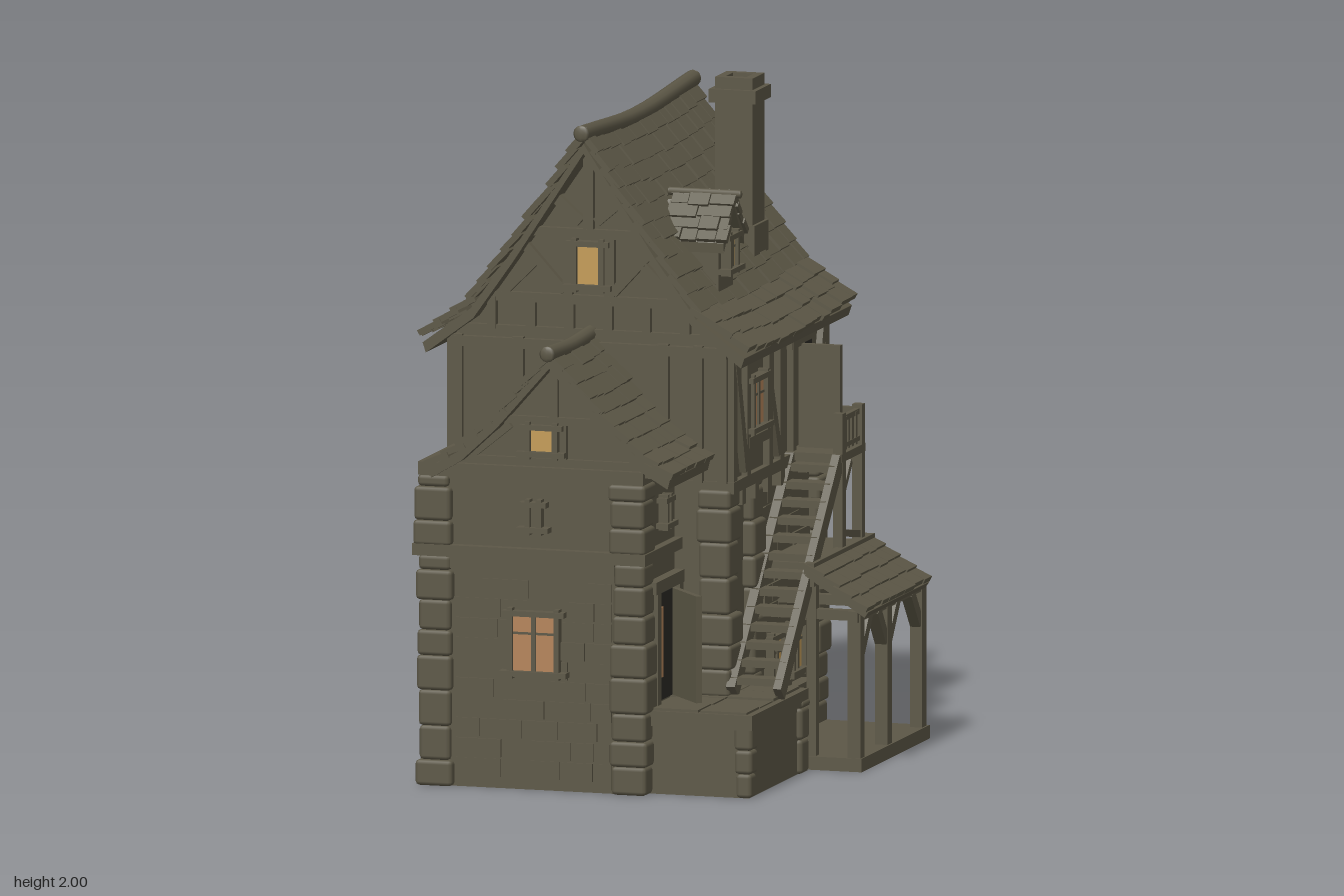
import * as THREE from 'three';
import { mergeGeometries } from 'three/addons/utils/BufferGeometryUtils.js';
import { RoundedBoxGeometry } from 'three/addons/geometries/RoundedBoxGeometry.js';

export function createModel() {
  const mat = (name, color) => Object.assign(new THREE.MeshStandardMaterial({ color }), { name });
  const weathered = mat('weathered olive', 0x5c5746);
  const glow = mat('amber glow', 0xc49c58);
  const peach = mat('peach glow', 0xb5845a);
  const dark = mat('dark interior', 0x2b2a25);
  const house = new THREE.Group();
  house.name = 'timberHouse';

  let seed = 7;
  const rnd = (a = 0, b = 1) => {
    seed = (seed * 16807) % 2147483647;
    return a + (b - a) * seed / 2147483647;
  };

  // --- helpers ---
  const add = (parent, name, geo, m = weathered) => {
    const mesh = new THREE.Mesh(geo, m);
    mesh.name = name;
    parent.add(mesh);
    return mesh;
  };
  const boxGeo = (w, h, d, x, y, z, rz = 0) =>
    new THREE.BoxGeometry(w, h, d).rotateZ(rz).translate(x, y, z);
  // box from min/max ranges
  const block = (name, x0, x1, y0, y1, z0, z1, parent = house, m = weathered) =>
    add(parent, name, boxGeo(x1 - x0, y1 - y0, z1 - z0, (x0 + x1) / 2, (y0 + y1) / 2, (z0 + z1) / 2), m);
  const prism = (parent, name, pts, z0, z1) =>
    add(parent, name, new THREE.ExtrudeGeometry(new THREE.Shape(pts.map(p => new THREE.Vector2(...p))),
      { depth: z1 - z0, bevelEnabled: false }).translate(0, 0, z0));
  // wall face: local x runs along the wall, local z points outwards
  const face = (name, rot, x, z) => {
    const g = new THREE.Group();
    g.name = name;
    g.rotation.y = rot;
    g.position.set(x, 0, z);
    house.add(g);
    return g;
  };
  const beams = (g, name, list, w = 0.032, depth = 0.036) => add(g, name, mergeGeometries(
    list.map(([a, b, c, d]) => boxGeo(Math.hypot(c - a, d - b) + w * 0.6, w * rnd(0.9, 1.15), depth + rnd(0, 0.006),
      (a + c) / 2, (b + d) / 2, 0, Math.atan2(d - b, c - a)))));
  const win = (g, u, y, w, h, m = glow, mullion = true) => {
    const a = w / 2, b = h / 2, t = 0.016;
    block('windowGlow', u - a, u + a, y - b, y + b, 0.01, 0.017, g, m);
    const frame = [
      boxGeo(t, h + 2 * t, 0.06, u - a, y, 0), boxGeo(t, h + 2 * t, 0.06, u + a, y, 0),
      boxGeo(w + 3 * t, t, 0.066, u, y + b, 0), boxGeo(w + 4 * t, t, 0.076, u, y - b, 0)];
    if (mullion) frame.push(boxGeo(0.014, h, 0.046, u, y, 0), boxGeo(w, 0.007, 0.04, u, y + h * 0.17, 0));
    add(g, 'windowFrame', mergeGeometries(frame));
  };
  // scattered, slightly proud masonry
  const stones = (g, u0, u1, y0, y1) => {
    const list = [];
    for (let y = y0; y < y1 - 0.04; y += 0.06) {
      for (let u = u0; u < u1 - 0.05;) {
        const w = Math.min(rnd(0.07, 0.16), u1 - u);
        if (rnd() < 0.6) list.push(boxGeo(w - 0.006, 0.054, rnd(0.004, 0.018), u + w / 2, y + 0.03, 0));
        u += w;
      }
    }
    add(g, 'wallStones', mergeGeometries(list));
  };
  const quoin = (x, z, y0, y1, w = 0.1, d = 0.1) => {
    const list = [];
    for (let y = y0; y < y1 - 0.02;) {
      const h = Math.min(rnd(0.07, 0.11), y1 - y), e = rnd(-0.014, 0.012);
      list.push(new RoundedBoxGeometry(w + e, h, d + e, 1, 0.012).translate(x, y + h / 2, z));
      y += h;
    }
    add(house, 'quoinStones', mergeGeometries(list));
  };
  // shingled gable roof along local z; pts run from ridge to eave
  const roof = (g, name, pts, z0, z1, rows, sag = 0, ridge = 0.025) => {
    const path = new THREE.CurvePath(), mid = (z0 + z1) / 2, half = (z1 - z0) / 2;
    for (let i = 1; i < pts.length; i++)
      path.add(new THREE.LineCurve(new THREE.Vector2(...pts[i - 1]), new THREE.Vector2(...pts[i])));
    const L = path.getLength() / rows, list = [];
    const drop = z => sag * (1 - ((z - mid) / half) ** 2);
    for (const s of [1, -1]) for (let i = 0; i < rows; i++) {
      const p = path.getPointAt((i + 0.5) / rows), t = path.getTangentAt((i + 0.5) / rows);
      const ang = Math.atan2(t.y, t.x) + 0.13;
      for (let z = z0 + rnd(0, 0.015); z < z1 - 0.01;) {
        let w = rnd(0.05, 0.11);
        if (z + w > z1 - 0.035) w = z1 - z - rnd(0, 0.012);
        list.push(boxGeo(L * rnd(1.2, 1.42), 0.018, w - 0.003, s * (p.x + rnd(-0.005, 0.005)),
          p.y - drop(z + w / 2) + rnd(-0.003, 0.003), z + w / 2, s * ang));
        z += w;
      }
    }
    add(g, name + 'Shingles', mergeGeometries(list));
    const off = sag + 0.008, top = [...pts.slice(1).reverse().map(p => [-p[0], p[1] - off]), ...pts.map(p => [p[0], p[1] - off])];
    prism(g, name + 'Deck', [...top, ...top.map(p => [p[0] * 0.98, p[1] - 0.03]).reverse()].reverse(), z0 + 0.015, z1 - 0.015);
    if (ridge) {
      const log = new THREE.CatmullRomCurve3([z0 - 0.006, mid, z1 + 0.006].map(z => new THREE.Vector3(0, pts[0][1] - drop(z), z)));
      add(g, name + 'RidgeLog', new THREE.TubeGeometry(log, 10, ridge, 8));
      for (const z of [z0 - 0.006, z1 + 0.006])
        add(g, name + 'RidgeEnd', new THREE.SphereGeometry(ridge, 8, 6).scale(1, 1, 0.3).translate(0, pts[0][1], z));
    }
  };
  const H = Math.PI / 2, CX = -0.14;

  // --- main masses ---
  block('groundFloor', -0.54, 0.27, 0, 0.88, -0.62, 0.3);
  block('upperFloor', -0.565, 0.29, 0.87, 1.3, -0.63, 0.29);
  block('frontWing', -0.54, 0.125, 0, 0.96, 0.28, 0.63);
  block('wingLedge', -0.575, 0.15, 0.69, 0.725, 0.28, 0.66);
  block('wingTopBeam', -0.56, 0.14, 0.93, 0.97, 0.28, 0.65);
  block('groundFloorSill', -0.585, 0.31, 0.86, 0.895, -0.65, 0.3);
  block('basePlinth', -0.56, 0.29, 0, 0.03, -0.645, 0.3);

  const gables = new THREE.Group();
  gables.name = 'roofs';
  gables.position.x = CX;
  house.add(gables);
  prism(gables, 'atticWalls', [[-0.425, 1.28], [0.425, 1.28], [0.34, 1.37], [0.2, 1.56], [0, 1.85], [-0.2, 1.56], [-0.34, 1.37]], -0.63, 0.29);
  prism(gables, 'wingGable', [[-0.33, 0.95], [0.33, 0.95], [0.17, 1.09], [0, 1.28], [-0.17, 1.09]], 0.25, 0.63);
  roof(gables, 'mainRoof', [[0, 1.93], [0.22, 1.6], [0.35, 1.42], [0.5, 1.31]], -0.7, 0.37, 13, 0.025);
  roof(gables, 'wingRoof', [[0, 1.32], [0.17, 1.13], [0.28, 1.03], [0.375, 0.975]], 0.28, 0.7, 9, 0.008, 0.024);

  // --- quoins ---
  for (const [x, z, y0, y1] of [[-0.51, 0.6, 0, 0.69], [0.095, 0.6, 0, 0.69], [-0.515, 0.6, 0.72, 0.93], [0.09, 0.6, 0.72, 0.93],
    [-0.52, 0.3, 0, 0.87], [-0.52, -0.6, 0, 0.87], [0.25, -0.6, 0, 0.87], [0.25, 0.03, 0, 0.87], [0.25, 0.26, 0.25, 0.87]])
    quoin(x, z, y0, y1, 0.11, 0.11);

  // --- front ---
  const wing = face('wingFront', 0, 0, 0.63);
  stones(wing, -0.45, 0.04, 0.03, 0.66);
  win(wing, -0.2, 0.44, 0.145, 0.18, peach);
  win(wing, -0.2, 0.82, 0.035, 0.075, weathered, false);
  win(wing, -0.175, 1.05, 0.085, 0.08, glow, false);
  beams(wing, 'wingGableTimbers', [[-0.46, 0.985, 0.18, 0.985], [-0.3, 1.11, 0.02, 1.11], [-0.14, 1.12, -0.14, 1.26],
    [-0.24, 1, -0.24, 1.1], [-0.11, 1, -0.11, 1.1], [-0.39, 1, -0.28, 1.09], [0.11, 1, 0, 1.09]], 0.022, 0.03);
  block('wingLintel', -0.46, 0.05, 0.655, 0.69, 0.6, 0.65);
  const front = face('atticFront', 0, 0, 0.29);
  win(front, -0.14, 1.525, 0.085, 0.13, glow, false);
  const back = face('houseBack', Math.PI, 0, -0.63);
  win(back, 0.14, 1.525, 0.085, 0.13, glow, false);
  for (const [g, s] of [[front, 1], [back, -1]]) {
    const c = s * CX, list = [[c - 0.4, 1.32, c + 0.4, 1.32], [c - 0.33, 1.42, c + 0.33, 1.42], [c - 0.18, 1.62, c + 0.18, 1.62],
      [c, 1.64, c, 1.84], [c - 0.065, 1.43, c - 0.065, 1.61], [c + 0.065, 1.43, c + 0.065, 1.61]];
    for (const k of [-0.3, -0.18, -0.06, 0.06, 0.18, 0.3]) list.push([c + k, 1.33, c + k, 1.41]);
    for (const k of [-1, 1]) list.push([c + k * 0.08, 1.45, c + k * 0.19, 1.57], [c + k * 0.27, 1.43, c + k * 0.16, 1.54],
      [c + k * 0.03, 1.66, c + k * 0.1, 1.72]);
    beams(g, 'atticTimbers', list, 0.028);
  }
  beams(front, 'upperFrontTimbers', [[-0.55, 0.9, -0.55, 1.29], [0.275, 0.9, 0.275, 1.29], [-0.36, 0.9, -0.36, 1.29],
    [0.09, 0.9, 0.09, 1.29], [0.2, 0.9, 0.2, 1.29], [-0.56, 1.28, 0.28, 1.28]]);

  // --- back ---
  beams(back, 'backTimbers', [[-0.28, 0.9, -0.28, 1.29], [0.55, 0.9, 0.55, 1.29], [0, 0.9, 0, 1.29], [0.28, 0.9, 0.28, 1.29],
    [-0.28, 1.285, 0.55, 1.285], [-0.28, 1.1, 0.55, 1.1], [-0.26, 0.92, -0.02, 1.09], [0.53, 0.92, 0.3, 1.09],
    [0.02, 1.27, 0.13, 1.12], [0.26, 1.27, 0.15, 1.12], [-0.26, 1.12, -0.15, 1.27], [0.53, 1.12, 0.42, 1.27]]);
  stones(back, -0.2, 0.46, 0.03, 0.8);
  win(back, 0.23, 0.42, 0.13, 0.17, peach);

  // --- left-hand wall at -x ---
  const westUp = face('upperWestWall', -H, -0.565, 0);
  for (const u of [-0.4, 0.06]) win(westUp, u, 1.1, 0.12, 0.15);
  beams(westUp, 'westTimbers', [[-0.61, 0.9, -0.61, 1.29], [-0.5, 0.9, -0.5, 1.29], [-0.29, 0.9, -0.29, 1.29], [-0.05, 0.9, -0.05, 1.29],
    [0.16, 0.9, 0.16, 1.29], [0.275, 0.9, 0.275, 1.29], [-0.61, 1.28, 0.28, 1.28], [-0.27, 0.92, -0.07, 1.25], [-0.49, 0.99, -0.3, 0.99], [-0.04, 0.99, 0.15, 0.99]]);
  const west = face('lowerWestWall', -H, -0.54, 0);
  stones(west, -0.52, 0.24, 0.03, 0.8);
  stones(west, 0.36, 0.54, 0.03, 0.66);
  win(west, -0.22, 0.45, 0.075, 0.15);

  // --- stair-side wall at +x ---
  const eastUp = face('upperEastWall', H, 0.29, 0);
  win(eastUp, -0.06, 1.1, 0.13, 0.15, peach);
  beams(eastUp, 'eastTimbers', [[-0.275, 0.9, -0.275, 1.29], [-0.15, 0.9, -0.15, 1.29], [0.06, 0.9, 0.06, 1.29], [0.17, 0.9, 0.17, 1.29],
    [0.29, 0.9, 0.29, 1.23], [0.47, 0.9, 0.47, 1.23], [0.61, 0.9, 0.61, 1.29], [-0.28, 1.285, 0.61, 1.285], [0.28, 1.22, 0.48, 1.22],
    [-0.26, 1.24, -0.17, 0.92], [0.15, 0.92, 0.07, 1.12], [0.5, 0.92, 0.59, 1.24], [-0.14, 0.99, 0.05, 0.99]]);
  block('upperDoorway', 0.365, 0.455, 0.9, 1.21, 0.012, 0.02, eastUp, dark);
  block('upperDoorLeaf', 0.3, 0.43, 0.9, 1.21, -0.375, -0.355);
  const east = face('lowerEastWall', H, 0.27, 0);
  win(east, 0.18, 0.285, 0.11, 0.15, glow);
  win(east, 0.38, 0.295, 0.11, 0.14, glow);
  stones(east, 0.03, 0.54, 0.4, 0.82);
  block('porchPanel', 0.29, 0.48, 0.03, 0.19, 0, 0.04, east);
  const wingEast = face('wingEastWall', H, 0.125, 0);
  win(wingEast, -0.43, 0.82, 0.035, 0.075, weathered, false);
  block('doorOpening', -0.53, -0.34, 0.26, 0.58, 0.006, 0.012, wingEast, dark);
  block('doorGlow', -0.528, -0.46, 0.33, 0.54, 0.012, 0.018, wingEast, peach);
  beams(wingEast, 'doorFrame', [[-0.54, 0.25, -0.54, 0.6], [-0.325, 0.25, -0.325, 0.6], [-0.56, 0.61, -0.3, 0.61]], 0.035, 0.06);
  const leaf = add(house, 'doorLeaf', boxGeo(0.19, 0.32, 0.018, 0.095, 0.42, 0));
  leaf.position.set(0.135, 0, 0.34);
  leaf.rotation.y = -0.85;

  // corbels under the overhanging floor
  for (const [g, u0, u1, d] of [[back, -0.2, 0.5, 0], [west, -0.52, 0.2, 0.01], [east, -0.2, 0.55, 0.01]])
    for (let i = 0; i < 7; i++)
      block('corbel', u0 + (u1 - u0) * i / 6 - 0.018, u0 + (u1 - u0) * i / 6 + 0.018, 0.815, 0.87, -0.02, 0.03 + d, g);

  // --- stone terrace ---
  block('terrace', 0.12, 0.45, 0, 0.235, 0.07, 0.59);
  block('terraceCap', 0.12, 0.465, 0.205, 0.25, 0.06, 0.605);
  quoin(0.435, 0.57, 0, 0.22, 0.06, 0.07);
  quoin(0.435, 0.09, 0, 0.22, 0.06, 0.07);
  for (let i = 0; i < 4; i++) for (let j = 0; j < 2; j++)
    block('pavingStone', 0.15 + j * 0.15, 0.293 + j * 0.15, 0.24, 0.253 + rnd(0, 0.006), 0.08 + i * 0.13, 0.203 + i * 0.13);

  // --- stairs and landing ---
  for (let i = 0; i < 13; i++) {
    const t = i / 12, y = 0.3 + t * 0.56, z = 0.27 - t * 0.52;
    block('stairTread', 0.295, 0.455, y - 0.011, y + 0.011, z - 0.028, z + 0.028);
  }
  for (const x of [0.305, 0.45])
    beams(face('stairStringer', H, x, 0), 'stringer', [[-0.29, 0.28, 0.26, 0.87]], 0.055, 0.022);
  block('landing', 0.28, 0.465, 0.875, 0.9, -0.49, -0.26);
  for (const z of [-0.285, -0.47]) {
    block('landingPost', 0.435, 0.465, 0.58, 1.02, z - 0.015, z + 0.015);
    block('landingJoist', 0.28, 0.46, 0.845, 0.876, z - 0.014, z + 0.014);
  }
  const rail = face('landingRail', H, 0.45, 0);
  beams(rail, 'railBars', [[0.28, 1, 0.48, 1], [0.28, 0.92, 0.48, 0.92], ...[0.32, 0.355, 0.39, 0.425].map(u => [u, 0.91, u, 1])], 0.016, 0.016);
  beams(rail, 'landingBraces', [[0.29, 0.78, 0.36, 0.86], [0.29, 0.66, 0.47, 0.63]], 0.022, 0.022);
  block('backRail', 0.3, 0.46, 0.99, 1.01, -0.48, -0.46);
  for (const x of [0.33, 0.37, 0.41]) block('baluster', x, x + 0.014, 0.9, 1, -0.477, -0.463);

  // --- porch ---
  block('porchFloor', 0.2, 0.62, 0, 0.04, -0.63, 0.03);
  const porch = face('porchFrame', H, 0.595, 0);
  beams(porch, 'porchPosts', [-0.005, 0.26, 0.595].map(u => [u, 0.04, u, 0.46]), 0.036, 0.036);
  beams(porch, 'porchBeam', [[-0.03, 0.465, 0.62, 0.465], [0.02, 0.36, 0.09, 0.45], [0.17, 0.45, 0.24, 0.36],
    [0.28, 0.36, 0.35, 0.45], [0.5, 0.45, 0.575, 0.36]], 0.03, 0.03);
  for (const z of [0, -0.26, -0.53]) block('porchJoist', 0.27, 0.6, 0.45, 0.48, z - 0.015, z + 0.015);
  block('porchInnerRoof', 0.27, 0.47, 0.575, 0.6, -0.55, -0.08);
  block('porchInnerBeam', 0.445, 0.475, 0.55, 0.62, -0.55, 0.04);
  block('porchInnerPost', 0.445, 0.475, 0.04, 0.56, -0.01, 0.02);
  const slope = Math.atan2(-0.12, 0.19), shingles = [boxGeo(0.22, 0.02, 0.59, 0.55, 0.535, -0.24, slope)];
  for (let r = 0; r < 4; r++) for (let z = -0.55; z < 0.05;) {
    const w = Math.min(rnd(0.06, 0.11), 0.07 - z);
    shingles.push(boxGeo(rnd(0.065, 0.08), 0.017, w - 0.003, 0.475 + r * 0.047, 0.598 - r * 0.03, z + w / 2, slope + 0.14));
    z += w;
  }
  add(house, 'porchShingles', mergeGeometries(shingles));

  // --- dormer ---
  const dormer = face('dormer', H, 0, 0.035);
  prism(dormer, 'dormerBody', [[-0.07, 1.4], [0.07, 1.4], [0.07, 1.6], [0, 1.69], [-0.07, 1.6]], 0.02, 0.2);
  roof(dormer, 'dormerRoof', [[0, 1.715], [0.1, 1.59]], 0.03, 0.24, 4, 0, 0.012);
  const dormerFront = face('dormerFront', H, 0.2, 0);
  win(dormerFront, -0.035, 1.54, 0.075, 0.1, glow);

  // --- chimney ---
  const square = (s, y0, y1, name) => block(name, 0.105 - s, 0.105 + s, y0, y1, -0.395 - s, -0.395 + s);
  square(0.058, 1.45, 1.94, 'chimneyStack');
  square(0.068, 1.45, 1.56, 'chimneyFoot');
  square(0.073, 1.925, 1.965, 'chimneyCollar');
  for (const s of [-1, 1]) {
    block('chimneyRim', 0.105 + s * 0.045 - 0.013, 0.105 + s * 0.045 + 0.013, 1.96, 2, -0.453, -0.337);
    block('chimneyRim', 0.06, 0.15, 1.96, 2, -0.395 + s * 0.045 - 0.013, -0.395 + s * 0.045 + 0.013);
  }
  block('flueOpening', 0.07, 0.14, 1.964, 1.97, -0.43, -0.36, house, dark);
  return house;
}
